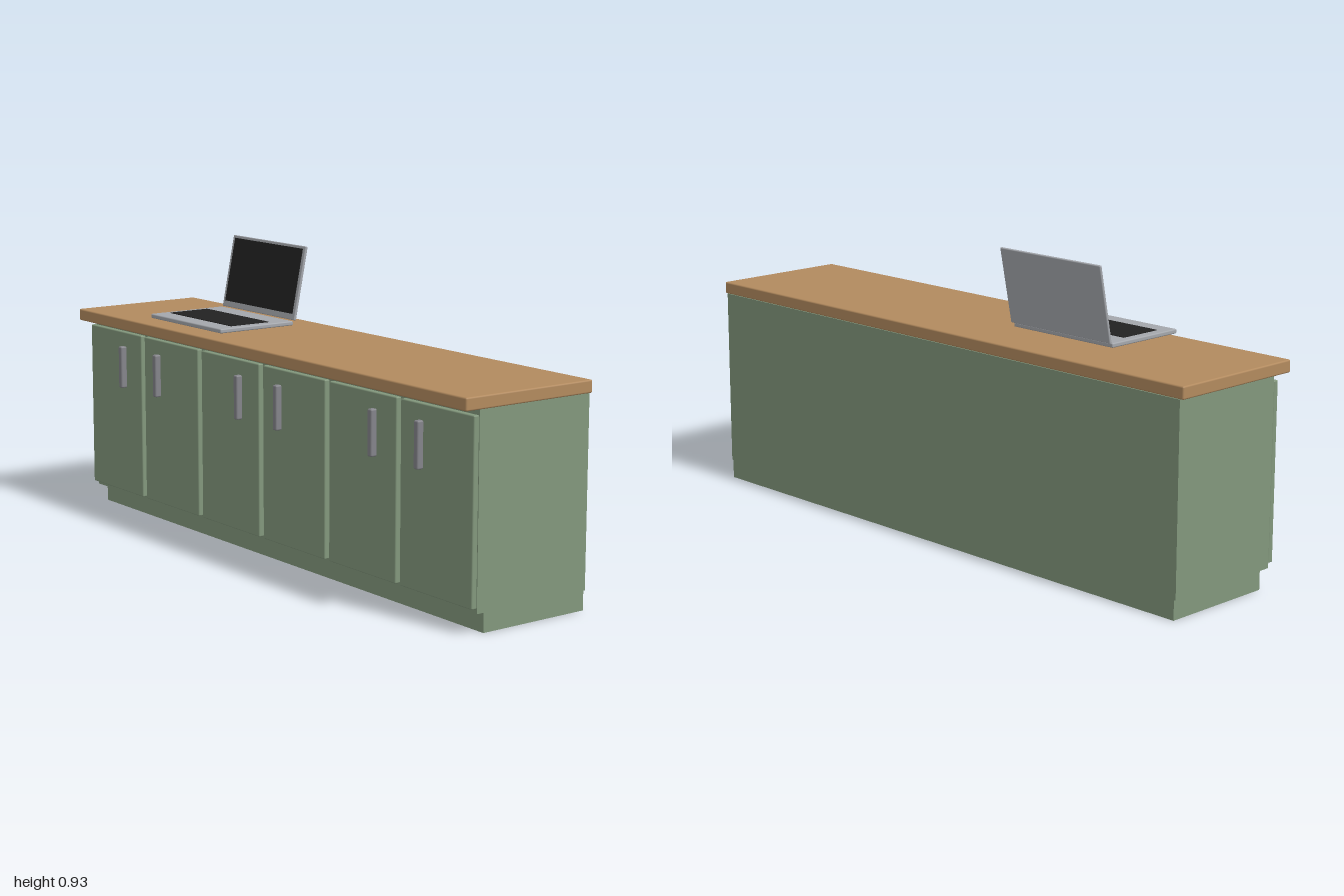
import * as THREE from 'three';
import { RoundedBoxGeometry } from 'three/addons/geometries/RoundedBoxGeometry.js';

const material = (name, color) => {
  const m = new THREE.MeshStandardMaterial({ color });
  m.name = name;
  return m;
};

export function createModel() {
  const green = material('sage green paint', 0x82977c);
  const wood = material('wood', 0xb28a5e);
  const steel = material('handle steel', 0x84848a);
  const silver = material('laptop silver', 0xa4a7ac);
  const black = material('laptop black', 0x222222);

  const model = new THREE.Group();
  model.name = 'cabinetWithLaptop';

  // Box given by its min and max corners, with optional rounded edges
  function box(name, mat, [x0, y0, z0], [x1, y1, z1], radius = 0, parent = model) {
    const size = [x1 - x0, y1 - y0, z1 - z0];
    const geometry = radius
      ? new RoundedBoxGeometry(...size, 2, radius)
      : new THREE.BoxGeometry(...size);
    const mesh = new THREE.Mesh(geometry, mat);
    mesh.position.set((x0 + x1) / 2, (y0 + y1) / 2, (z0 + z1) / 2);
    mesh.name = name;
    parent.add(mesh);
    return mesh;
  }

  // Carcass, recessed plinth and overhanging worktop
  box('plinth', green, [-0.982, 0, -0.23], [0.982, 0.06, 0.142]);
  box('carcass', green, [-0.988, 0.06, -0.23], [0.988, 0.63, 0.172]);
  box('worktop', wood, [-1, 0.63, -0.23], [1, 0.668, 0.23], 0.005);

  // Three mirrored pairs of doors, each with an upright handle
  const doors = [[0.167, 0.103], [0.5, 0.563], [0.832, 0.77]];
  for (const side of [-1, 1]) {
    for (const [center, handle] of doors) {
      const x = side * center, hx = side * handle;
      box('door', green, [x - 0.156, 0.074, 0.172], [x + 0.156, 0.613, 0.191], 0.004);
      box('handle', steel, [hx - 0.01, 0.43, 0.193], [hx + 0.01, 0.568, 0.215], 0.005);
    }
  }

  // Laptop base with keyboard plate
  const laptop = new THREE.Group();
  laptop.name = 'laptop';
  laptop.position.x = -0.4;
  model.add(laptop);
  box('laptopBase', silver, [-0.2, 0.683, -0.077], [0.2, 0.697, 0.2], 0.004, laptop);
  box('keyboard', black, [-0.172, 0.695, 0], [0.172, 0.699, 0.142], 0, laptop);

  // Tilted lid with screen
  const lid = new THREE.Group();
  lid.name = 'lid';
  lid.position.set(0, 0.698, -0.084);
  lid.rotation.x = -0.2;
  laptop.add(lid);
  box('lidShell', silver, [-0.2, 0, -0.0045], [0.2, 0.236, 0.0045], 0.003, lid);
  box('screen', black, [-0.187, 0.019, 0.003], [0.187, 0.227, 0.006], 0, lid);

  return model;
}
